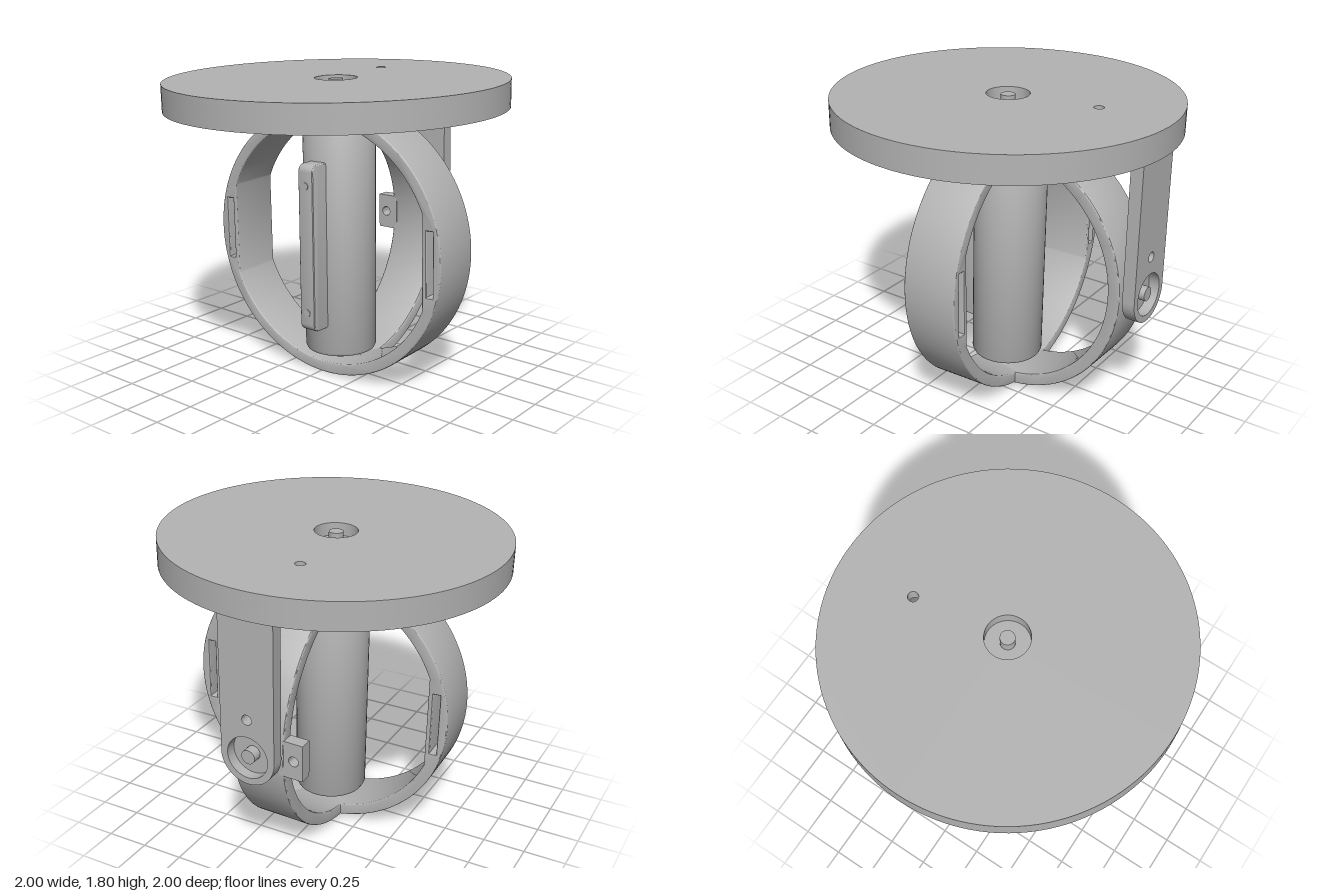
import * as THREE from 'three';
import { toCreasedNormals } from 'three/addons/utils/BufferGeometryUtils.js';

const grey = new THREE.MeshStandardMaterial({ color: 0xb4b4b4 });
grey.name = 'plain grey';

const circle = (x, y, r) => new THREE.Path().absarc(x, y, r, 0, Math.PI * 2, true);

function rect(PathType, x0, y0, x1, y1) {
  const p = new PathType();
  p.moveTo(x0, y0).lineTo(x1, y0).lineTo(x1, y1).lineTo(x0, y1).closePath();
  return p;
}

// Extrusion centred on its thickness, with crisp edges and smooth curves
function extrude(shape, depth, bevel = 0) {
  const geo = new THREE.ExtrudeGeometry(shape, {
    depth: depth - 2 * bevel, curveSegments: 64, bevelEnabled: bevel > 0,
    bevelSize: bevel, bevelOffset: -bevel, bevelThickness: bevel, bevelSegments: 3,
  });
  geo.translate(0, 0, -depth / 2 + bevel);
  return toCreasedNormals(geo, 0.5);
}

function lathe(points) {
  const geo = new THREE.LatheGeometry(points.map(([x, y]) => new THREE.Vector2(x, y)), 48);
  return toCreasedNormals(geo, 0.5);
}

function add(parent, name, geo, x = 0, y = 0, z = 0) {
  const m = new THREE.Mesh(geo, grey);
  m.name = name;
  m.position.set(x, y, z);
  parent.add(m);
  return m;
}

// Recessed pivot seat with a central pin, opening toward +y
function pivotSeat(parent, name) {
  const g = new THREE.Group();
  g.name = name;
  add(g, 'seatBowl', lathe([[0.04, -0.06], [0.06, -0.055], [0.1, -0.035], [0.125, 0]]));
  add(g, 'seatPin', new THREE.CylinderGeometry(0.042, 0.042, 0.07, 24), 0, -0.04, 0);
  parent.add(g);
  return g;
}

export function createModel() {
  const model = new THREE.Group();
  model.name = 'gimbalStand';

  // Everything leans slightly about the ring centre
  const tilt = new THREE.Group();
  tilt.name = 'tiltedAssembly';
  tilt.position.set(0, 0.805, 0.02);
  tilt.rotation.x = -0.022;
  model.add(tilt);

  // Round top: pierced plate, hanging rim and a channel of two ribs
  const top = new THREE.Group();
  top.name = 'topDisc';
  top.position.y = 0.97;
  tilt.add(top);
  const plate = new THREE.Shape().absarc(0, 0, 1, 0, Math.PI * 2);
  plate.holes.push(circle(0, 0, 0.125), circle(0.545, 0.08, 0.03));
  add(top, 'discPlate', extrude(plate, 0.08), 0, -0.04, 0).rotation.x = -Math.PI / 2;
  const rim = new THREE.Shape().absarc(0, 0, 1, 0, Math.PI * 2);
  rim.holes.push(circle(0, 0, 0.965));
  add(top, 'discRim', extrude(rim, 0.085), 0, -0.1175, 0).rotation.x = -Math.PI / 2;
  for (const s of [-1, 1]) {
    add(top, 'channelRib', new THREE.BoxGeometry(1.92, 0.08, 0.03), 0, -0.118, s * 0.15);
  }
  pivotSeat(top, 'topPivotSeat');
  add(top, 'seatFloor', new THREE.CylinderGeometry(0.14, 0.14, 0.02, 32), 0, -0.085, 0);

  // Hanging arm with a rounded foot
  const armShape = new THREE.Shape();
  armShape.moveTo(0.165, 0.83);
  armShape.lineTo(-0.165, 0.83);
  armShape.lineTo(-0.165, 0);
  armShape.absarc(0, 0, 0.165, Math.PI, Math.PI * 2);
  armShape.holes.push(circle(0, 0, 0.125), circle(0, 0.23, 0.03));
  const arm = add(tilt, 'hangingArm', extrude(armShape, 0.075), 0.925, -0.01, 0);
  arm.rotation.y = Math.PI / 2;
  const armSeat = pivotSeat(tilt, 'armPivotSeat');
  armSeat.position.set(0.962, -0.01, 0);
  armSeat.rotation.z = -Math.PI / 2;
  const back = add(tilt, 'armSeatBack', new THREE.CylinderGeometry(0.13, 0.13, 0.012, 32), 0.894, -0.01, 0);
  back.rotation.z = Math.PI / 2;
  const stub = add(tilt, 'armAxle', new THREE.CylinderGeometry(0.04, 0.04, 0.09, 24), 0.87, -0.01, 0);
  stub.rotation.z = Math.PI / 2;

  // Full ring with flat slotted pads on its inner sides
  const ringShape = new THREE.Shape().absarc(0, 0, 0.805, 0, Math.PI * 2);
  const a = Math.acos(0.68 / 0.735);
  const inner = new THREE.Path();
  inner.absarc(0, 0, 0.735, a, Math.PI - a);
  inner.absarc(0, 0, 0.735, Math.PI + a, Math.PI * 2 - a);
  inner.closePath();
  ringShape.holes.push(inner);
  for (const s of [-1, 1]) ringShape.holes.push(rect(THREE.Path, s * 0.71, -0.19, s * 0.75, 0.19));
  const fullRing = add(tilt, 'fullRing', extrude(ringShape, 0.335, 0.01), 0.02, 0, 0);
  fullRing.rotation.y = Math.PI / 2 + 0.035;

  // Half ring reaching out to the arm
  const end = 1.62;
  const half = new THREE.Shape();
  half.absarc(0, 0, 0.79, -end, end);
  half.absarc(0, 0, 0.715, end, -end, true);
  half.closePath();
  add(tilt, 'halfRing', extrude(half, 0.33, 0.01), 0.078, -0.01, 0);

  // Pierced lug on the side of the half ring
  const lugShape = rect(THREE.Shape, 0.14, -0.11, 0.28, 0.11);
  lugShape.holes.push(circle(0.225, 0, 0.03));
  const lug = add(tilt, 'ringLug', extrude(lugShape, 0.075), 0.825, -0.02, 0);
  lug.rotation.y = Math.PI / 2;

  // Drum with rounded ends, turning on a vertical axle inside the rings
  const drum = new THREE.Group();
  drum.name = 'drum';
  drum.position.set(0.02, 0, -0.005);
  drum.rotation.z = -0.01;
  tilt.add(drum);
  add(drum, 'drumBody', lathe([
    [0, -0.68], [0.19, -0.68], [0.206, -0.673], [0.215, -0.655],
    [0.215, 0.655], [0.206, 0.673], [0.19, 0.68], [0, 0.68],
  ]));
  for (const s of [-1, 1]) {
    add(drum, 'drumAxle', new THREE.CylinderGeometry(0.055, 0.055, 0.1, 24), 0, s * 0.715, 0);
  }

  // Upright fin on the drum with two small screw holes
  const x0 = -0.325, x1 = -0.16, h = 0.5, r = 0.045;
  const fin = new THREE.Shape();
  fin.moveTo(x1, -h);
  fin.lineTo(x1, h);
  fin.lineTo(x0 + r, h);
  fin.absarc(x0 + r, h - r, r, Math.PI / 2, Math.PI);
  fin.lineTo(x0, -h + r);
  fin.absarc(x0 + r, -h + r, r, Math.PI, Math.PI * 1.5);
  fin.closePath();
  add(drum, 'drumFin', extrude(fin, 0.11, 0.012), 0, 0.005, 0.01);
  for (const s of [-1, 1]) {
    const screw = add(drum, 'finScrew', new THREE.CylinderGeometry(0.022, 0.022, 0.008, 20), x0, s * 0.38, 0.01);
    screw.rotation.z = Math.PI / 2;
  }

  return model;
}
